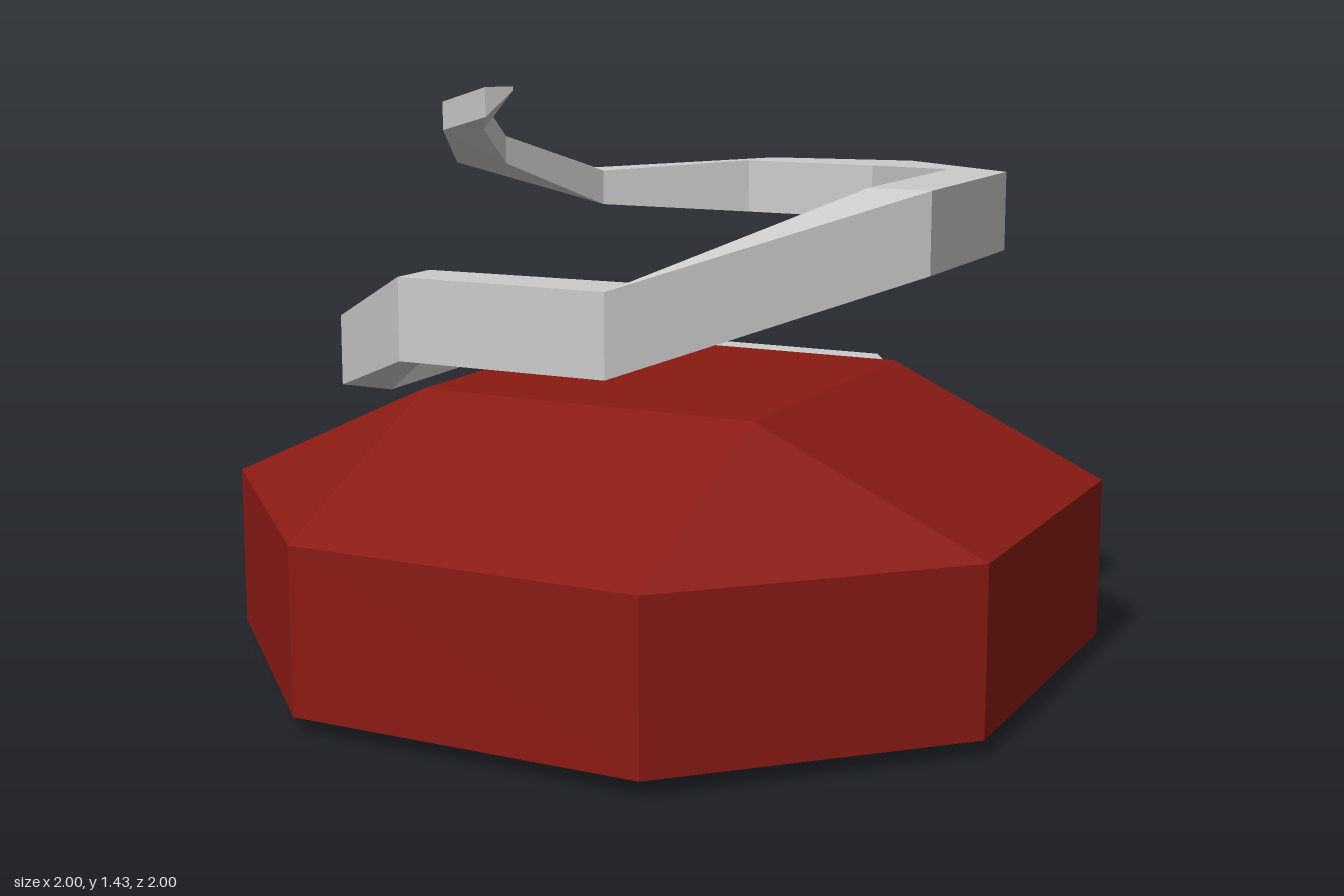
import * as THREE from 'three';

// Skin a list of closed rings (each a list of [x, y, z]) with flat faces.
function loft(rings, capStart, capEnd) {
  const pos = [];
  const tri = (a, b, c) => pos.push(...a, ...b, ...c);
  const n = rings[0].length;
  for (let i = 0; i < rings.length - 1; i++) {
    for (let k = 0; k < n; k++) {
      const j = (k + 1) % n;
      const a = rings[i][k], b = rings[i + 1][k], c = rings[i + 1][j], d = rings[i][j];
      tri(a, b, c);
      tri(a, c, d);
    }
  }
  const first = rings[0], last = rings[rings.length - 1];
  for (let k = 1; k < n - 1; k++) {
    if (capStart) tri(first[0], first[k], first[k + 1]);
    if (capEnd) tri(last[0], last[k + 1], last[k]);
  }
  const g = new THREE.BufferGeometry();
  g.setAttribute('position', new THREE.Float32BufferAttribute(pos, 3));
  g.computeVertexNormals();
  return g;
}

function part(name, geometry, color) {
  const mesh = new THREE.Mesh(geometry, new THREE.MeshStandardMaterial({
    color, flatShading: true, side: THREE.DoubleSide,
  }));
  mesh.name = name;
  return mesh;
}

export function createModel() {
  const model = new THREE.Group();
  model.name = 'springShell';

  // Hollow octagonal shell: a small square top, sloping roof, upright wall, open below
  const s = 0.44;
  const octagon = [[s, 1], [1, s], [1, -s], [s, -1], [-s, -1], [-1, -s], [-1, s], [-s, 1]];
  const ring = (y) => octagon.map(([x, z]) => [x, y, z]);
  const top = octagon.map(([x, z]) => [Math.sign(x) * s, 0.7, Math.sign(z) * s]);
  model.add(part('shell', loft([top, ring(0.44), ring(0.04)], true, false), 0x8a1a13));

  // Coil sections: outer x, z, inner x, z, bottom, top
  const sections = [
    [-0.26, 0.81, -0.26, 0.67, 0, 0.05],
    [0.26, 0.81, 0.24, 0.66, 0.08, 0.27],
    [0.79, 0.27, 0.64, 0.27, 0.27, 0.46],
    [0.79, -0.25, 0.64, -0.25, 0.27, 0.46],
    [0.26, -0.78, 0.26, -0.62, 0.46, 0.65],
    [-0.26, -0.78, -0.26, -0.61, 0.46, 0.65],
    [-0.8, -0.25, -0.67, -0.25, 0.65, 0.83],
    [-0.8, 0.27, -0.65, 0.27, 0.65, 0.83],
    [-0.26, 0.81, -0.26, 0.68, 0.84, 1.03],
    [0.26, 0.81, 0.24, 0.66, 0.84, 1.03],
    [0.79, 0.27, 0.64, 0.27, 1.03, 1.22],
    [0.79, -0.25, 0.64, -0.25, 1.03, 1.22],
    [0.35, -0.78, 0.31, -0.59, 1.05, 1.19],
    [-0.03, -0.71, -0.05, -0.59, 1.05, 1.19],
    [-0.43, -0.41, -0.36, -0.33, 1.08, 1.17],
    [-0.6, 0.02, -0.47, -0.01, 1.21, 1.28],
    [-0.5, 0.24, -0.42, 0.18, 1.31, 1.38],
    [-0.26, 0.43, -0.22, 0.37, 1.36, 1.43],
  ];
  const rings = sections.map(([ox, oz, ix, iz, y0, y1]) => [
    [ox, y0, oz], [ox, y1, oz], [ix, y1, iz], [ix, y0, iz],
  ]);
  // The upper tip narrows to a wedge
  rings[rings.length - 1][3][1] = 1.42;
  model.add(part('coil', loft(rings, true, true), 0xcccccc));

  // Tiny green chip under the shell
  const chip = new THREE.BufferGeometry().setFromPoints([
    new THREE.Vector3(0.06, 0.06, 0.06),
    new THREE.Vector3(-0.03, 0.06, -0.03),
    new THREE.Vector3(-0.05, 0.06, 0.02),
  ]);
  chip.computeVertexNormals();
  model.add(part('chip', chip, 0x3f5a12));

  return model;
}
